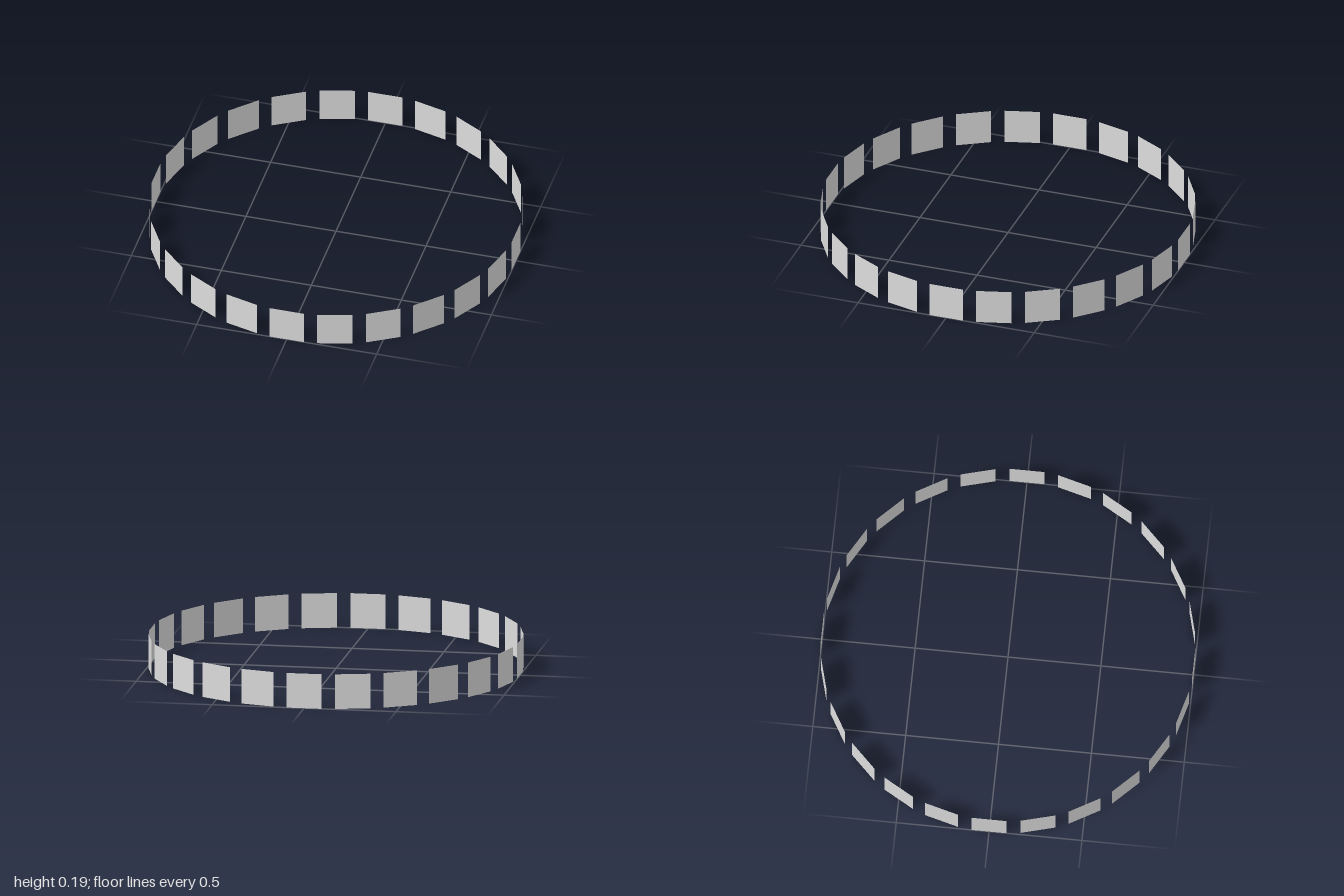
import * as THREE from 'three';

export function createModel() {
  const model = new THREE.Group();
  model.name = 'panelRing';

  const paleGrey = new THREE.MeshStandardMaterial({ color: 0xdddddd, side: THREE.DoubleSide });
  paleGrey.name = 'paleGrey';

  // Flat square panels standing in a ring, each facing outward
  const count = 24, radius = 1, size = 0.19;
  const square = new THREE.PlaneGeometry(size, size);
  for (let i = 0; i < count; i++) {
    const angle = (i / count) * Math.PI * 2;
    const panel = new THREE.Mesh(square, paleGrey);
    panel.name = `panel${i + 1}`;
    panel.position.set(Math.sin(angle) * radius, size / 2, Math.cos(angle) * radius);
    panel.rotation.y = angle;
    model.add(panel);
  }
  return model;
}
